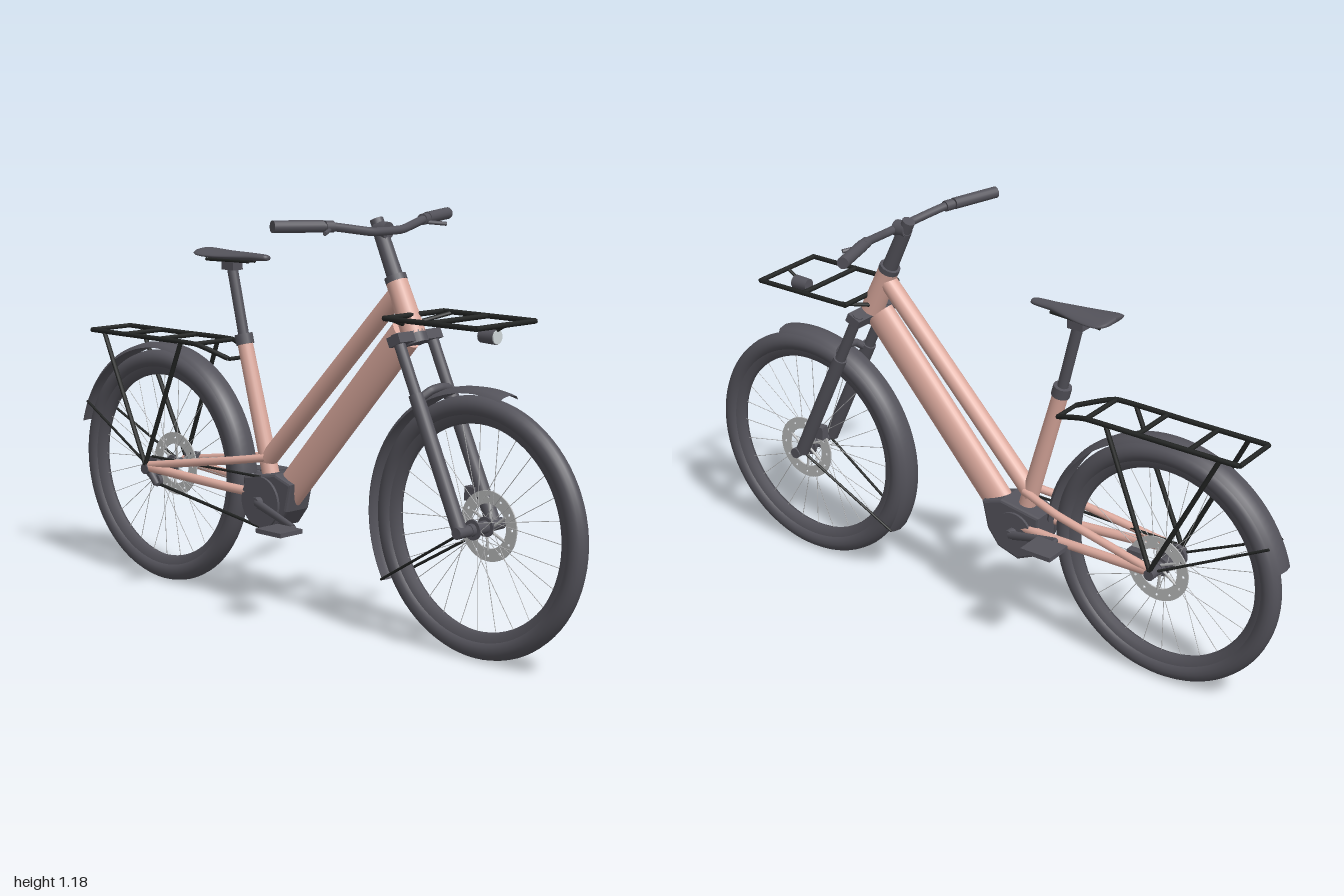
import * as THREE from 'three';

const mat = (name, color, side = THREE.FrontSide) => {
  const m = new THREE.MeshStandardMaterial({ color, side });
  m.name = name;
  return m;
};

export function createModel() {
  const bike = new THREE.Group();
  bike.name = 'bicycle';
  const pink = mat('frame pink', 0xdcaa9e);
  const grey = mat('dark grey', 0x54535b, THREE.DoubleSide);
  const black = mat('black', 0x222423);
  const steel = mat('steel', 0xb8b9ba);
  const lens = mat('lamp lens', 0xcfd6d8);
  const V = (x, y, z = 0) => new THREE.Vector3(x, y, z);
  const UP = V(0, 1, 0);

  const add = (name, geo, m, parent = bike, x = 0, y = 0, z = 0) => {
    const o = new THREE.Mesh(geo, m);
    o.name = name;
    o.position.set(x, y, z);
    parent.add(o);
    return o;
  };
  // straight tube from a to b; flat squeezes it across z
  const rod = (name, m, a, b, r, { r2 = r, flat = 1, sides = 16, parent = bike } = {}) => {
    const d = b.clone().sub(a);
    const o = add(name, new THREE.CylinderGeometry(r2, r, d.length(), sides), m, parent);
    o.position.copy(a).addScaledVector(d, 0.5);
    o.quaternion.setFromUnitVectors(UP, d.normalize());
    o.scale.z = flat;
    return o;
  };
  const thin = (name, a, b, r = 0.006) => rod(name, black, a, b, r, { sides: 8 });
  const axle = (name, m, x, y, z0, z1, r, sides = 24, parent = bike) => rod(name, m, V(x, y, z0), V(x, y, z1), r, { sides, parent });
  const box = (name, m, w, h, d, x, y, z) => add(name, new THREE.BoxGeometry(w, h, d), m, bike, x, y, z);
  const bend = (name, m, pts, r) =>
    add(name, new THREE.TubeGeometry(new THREE.CatmullRomCurve3(pts, false, 'catmullrom', 0.2), 40, r, 12), m);
  // profile of [radius, z] turned about the z axis, angles in degrees from +x
  const turned = (pts, seg, from = 0, to = 360) => new THREE.LatheGeometry(pts.map(p => new THREE.Vector2(...p)), seg,
    THREE.MathUtils.degToRad(from + 90), THREE.MathUtils.degToRad(to - from)).rotateX(Math.PI / 2);

  const AXLE_Y = 0.362, REAR = -0.63, FRONT = 0.64;

  // Wheels
  const discShape = new THREE.Shape().absarc(0, 0, 0.098, 0, Math.PI * 2);
  discShape.holes.push(new THREE.Path().absarc(0, 0, 0.062, 0, Math.PI * 2, true));
  for (let i = 0; i < 12; i++) {
    const a = i / 12 * Math.PI * 2;
    discShape.holes.push(new THREE.Path().absarc(Math.cos(a) * 0.082, Math.sin(a) * 0.082, 0.004, 0, Math.PI * 2, true));
  }
  const discGeo = new THREE.ExtrudeGeometry(discShape, { depth: 0.004, bevelEnabled: false, curveSegments: 24 });
  const tyreGeo = new THREE.TorusGeometry(0.332, 0.029, 16, 80);
  const rimGeo = turned([[0.312, -0.019], [0.29, -0.014], [0.284, 0], [0.29, 0.014], [0.312, 0.019]], 72);
  for (const [label, x] of [['rear', REAR], ['front', FRONT]]) {
    const wheel = new THREE.Group();
    wheel.name = label + 'Wheel';
    wheel.position.set(x, AXLE_Y, 0);
    bike.add(wheel);
    add('tyre', tyreGeo, grey, wheel);
    add('rim', rimGeo, grey, wheel);
    axle('hub', grey, 0, 0, -0.045, 0.045, 0.018, 24, wheel);
    for (const s of [-1, 1]) axle('hubFlange', grey, 0, 0, s * 0.024, s * 0.03, 0.028, 24, wheel);
    for (let i = 0; i < 28; i++) {
      const a = i / 28 * Math.PI * 2, s = i % 2 ? 1 : -1, t = a + (i % 4 < 2 ? 0.7 : -0.7);
      rod('spoke', steel, V(Math.cos(t) * 0.026, Math.sin(t) * 0.026, s * 0.026),
        V(Math.cos(a) * 0.287, Math.sin(a) * 0.287, 0), 0.001, { sides: 6, parent: wheel });
    }
    add('brakeDisc', discGeo, steel, wheel, 0, 0, -0.042);
    for (let i = 0; i < 6; i++) {
      const a = i / 6 * Math.PI * 2;
      rod('discArm', steel, V(Math.cos(a) * 0.015, Math.sin(a) * 0.015, -0.04),
        V(Math.cos(a + 0.5) * 0.067, Math.sin(a + 0.5) * 0.067, -0.04), 0.004, { sides: 6, parent: wheel });
    }
  }

  // Mudguards and their stays
  const guard = [[0.37, -0.038], [0.381, -0.028], [0.386, 0], [0.381, 0.028], [0.37, 0.038]];
  add('rearMudguard', turned(guard, 48, 4, 165), grey, bike, REAR, AXLE_Y);
  add('frontMudguard', turned(guard, 48, 75, 211), grey, bike, FRONT, AXLE_Y);
  for (const s of [-1, 1]) {
    thin('rearMudguardStay', V(REAR, AXLE_Y, s * 0.065), V(-0.965, 0.53, s * 0.036), 0.004);
    thin('frontMudguardStay', V(FRONT, AXLE_Y, s * 0.065), V(0.315, 0.17, s * 0.036), 0.004);
  }

  // Frame
  rod('downTube', pink, V(-0.093, 0.347), V(0.369, 0.863), 0.05, { flat: 0.65, sides: 28 });
  rod('topTube', pink, V(-0.18, 0.435), V(0.338, 0.972), 0.027, { sides: 20 });
  rod('seatTube', pink, V(-0.16, 0.39), V(-0.272, 0.785), 0.026, { r2: 0.023, sides: 20 });
  // a point on the steering axis at height y
  const steer = (y, z = 0, dx = 0) => V(0.632 - (y - AXLE_Y) * 0.463 + dx, y, z);
  rod('headTube', pink, steer(0.865), steer(1.01), 0.034, { r2: 0.03, sides: 24 });
  for (const s of [-1, 1]) {
    bend('chainStay', pink, [V(-0.16, 0.345, s * 0.04), V(-0.3, 0.35, s * 0.055), V(REAR, 0.367, s * 0.075)], 0.014);
    bend('seatStay', pink, [V(-0.165, 0.45, s * 0.02), V(-0.3, 0.427, s * 0.05), V(REAR, 0.372, s * 0.075)], 0.012);
    axle('rearDropout', grey, REAR, AXLE_Y, s * 0.045, s * 0.09, 0.016);
  }

  // Saddle and post
  rod('seatCollar', grey, V(-0.269, 0.775), V(-0.277, 0.805), 0.027);
  rod('seatPost', grey, V(-0.272, 0.785), V(-0.324, 1.0), 0.016);
  box('saddleClamp', grey, 0.05, 0.025, 0.04, -0.325, 1.005, 0);
  const saddle = new THREE.SphereGeometry(1, 40, 24);
  const p = saddle.attributes.position;
  for (let i = 0; i < p.count; i++) {
    const x = p.getX(i), y = p.getY(i), round = Math.pow(Math.max(1 - x * x, 0.002), -0.36);
    const w = THREE.MathUtils.lerp(0.07, 0.02, THREE.MathUtils.clamp((x + 0.8) / 1.3, 0, 1));
    const z = p.getZ(i) * w * round;
    p.setXYZ(i, x * 0.137, y * 0.012 * round - z * z * 1.6 + (x < 0 ? x * x * 0.008 : 0), z);
  }
  saddle.computeVertexNormals();
  add('saddle', saddle, grey, bike, -0.308, 1.036);
  for (const s of [-1, 1]) thin('saddleRail', V(-0.41, 1.02, s * 0.025), V(-0.24, 1.022, s * 0.012), 0.005);

  // Motor, cranks and pedals
  const motor = new THREE.Shape([[-0.225, 0.385], [-0.215, 0.27], [-0.16, 0.245], [-0.095, 0.265], [-0.06, 0.31], [-0.042, 0.385], [-0.1, 0.405]]
    .map(q => new THREE.Vector2(...q)));
  add('motorHousing', new THREE.ExtrudeGeometry(motor, { depth: 0.08, bevelSize: 0.008, bevelThickness: 0.008, bevelSegments: 2 }), grey, bike, 0, 0, -0.04);
  axle('motorCover', grey, -0.15, 0.325, -0.056, 0.05, 0.062, 32);
  axle('chainring', grey, -0.15, 0.325, 0.052, 0.06, 0.076, 40);
  axle('crankAxle', grey, -0.15, 0.325, -0.08, 0.08, 0.016);
  for (const s of [-1, 1]) {
    const px = -0.15 + s * 0.172, py = 0.325 - s * 0.045;
    rod('crankArm', grey, V(-0.15, 0.325, s * 0.072), V(px, py, s * 0.09), 0.014, { r2: 0.01, flat: 0.7 });
    axle('pedalAxle', grey, px, py, s * 0.085, s * 0.12, 0.006, 10);
    box('pedal', grey, 0.1, 0.013, 0.088, px, py, s * 0.148);
  }

  // Chain, sprocket and gear arm
  axle('sprocket', grey, REAR, AXLE_Y, 0.046, 0.058, 0.036, 28);
  thin('chainTop', V(REAR, 0.397, 0.056), V(-0.15, 0.4, 0.056), 0.004);
  thin('chainBottom', V(-0.6, 0.315, 0.056), V(-0.155, 0.25, 0.056), 0.005);
  rod('gearArm', grey, V(REAR, 0.36, 0.07), V(-0.605, 0.315, 0.06), 0.012);
  axle('jockeyWheel', grey, -0.605, 0.325, 0.05, 0.062, 0.018);

  // Fork
  rod('forkCrownRace', grey, steer(0.84), steer(0.87), 0.034);
  const crown = box('forkCrown', grey, 0.045, 0.028, 0.175, steer(0.857).x, 0.857, 0);
  crown.rotation.z = 0.434;
  for (const s of [-1, 1]) {
    rod('forkStanchion', grey, steer(0.69, s * 0.068), steer(0.872, s * 0.068), 0.016);
    rod('forkLower', grey, steer(0.365, s * 0.07), steer(0.715, s * 0.068), 0.021, { sides: 20 });
    axle('forkDropout', grey, FRONT, AXLE_Y, s * 0.045, s * 0.095, 0.016);
  }
  bend('forkArch', grey, [steer(0.7, 0.068), steer(0.725, 0.035, 0.03), steer(0.73, 0, 0.035), steer(0.725, -0.035, 0.03), steer(0.7, -0.068)], 0.012);
  box('frontBrakeCaliper', grey, 0.035, 0.04, 0.026, 0.57, 0.44, -0.052);
  box('rearBrakeCaliper', grey, 0.045, 0.022, 0.026, -0.565, 0.395, -0.052);

  // Stem, handlebar, grips and brake levers
  rod('headsetCap', grey, steer(1.005), steer(1.02), 0.031);
  rod('stem', grey, steer(1.01), steer(1.14), 0.023, { r2: 0.021 });
  rod('stemClamp', grey, V(0.262, 1.145), V(0.302, 1.143), 0.024);
  rod('stemCap', grey, steer(1.135), steer(1.172), 0.019);
  const half = [V(0.298, 1.143, 0.06), V(0.265, 1.162, 0.185), V(0.21, 1.168, 0.35)];
  const mirror = v => V(v.x, v.y, -v.z);
  bend('handlebar', grey, [...half.slice().reverse(), ...half.map(mirror)], 0.012);
  for (const side of [v => v, mirror]) {
    rod('grip', grey, side(V(0.255, 1.164, 0.21)), side(V(0.208, 1.168, 0.352)), 0.017);
    rod('brakeClamp', grey, side(V(0.265, 1.162, 0.18)), side(V(0.258, 1.163, 0.205)), 0.016);
    rod('brakeLever', grey, side(V(0.265, 1.155, 0.19)), side(V(0.298, 1.148, 0.245)), 0.006, { sides: 8 });
  }

  // Rear rack
  for (const s of [-1, 1]) {
    const z = s * 0.077;
    bend('rearRackRail', black, [V(-0.885, 0.77, z), V(-0.64, 0.77, z), V(-0.405, 0.77, z), V(-0.292, 0.733, s * 0.045)], 0.0075);
    for (const x of [-0.825, -0.47]) thin('rearRackLeg', V(REAR, 0.375, s * 0.085), V(x, 0.768, z), 0.007);
  }
  for (const x of [-0.885, -0.73, -0.57, -0.405]) thin('rearRackBar', V(x, 0.77, -0.077), V(x, 0.77, 0.077), 0.007);
  thin('rearRackMount', V(-0.292, 0.733, -0.045), V(-0.292, 0.733, 0.045));

  // Front rack
  for (const s of [-1, 1]) {
    thin('frontRackRail', V(0.4, 0.92, s * 0.12), V(0.722, 0.92, s * 0.12), 0.0075);
    thin('frontRackStrut', V(0.385, 0.895, s * 0.03), V(0.43, 0.918, s * 0.12));
  }
  for (const x of [0.4, 0.558, 0.722]) thin('frontRackBar', V(x, 0.92, -0.123), V(x, 0.92, 0.123), 0.0075);

  // Headlamp
  thin('lampBracket', V(0.67, 0.89), V(0.722, 0.92), 0.005);
  rod('lampBody', grey, V(0.64, 0.885), V(0.692, 0.885), 0.019, { r2: 0.021, sides: 24 });
  rod('lampLens', lens, V(0.69, 0.885), V(0.695, 0.885), 0.019, { sides: 24 });

  return bike;
}
